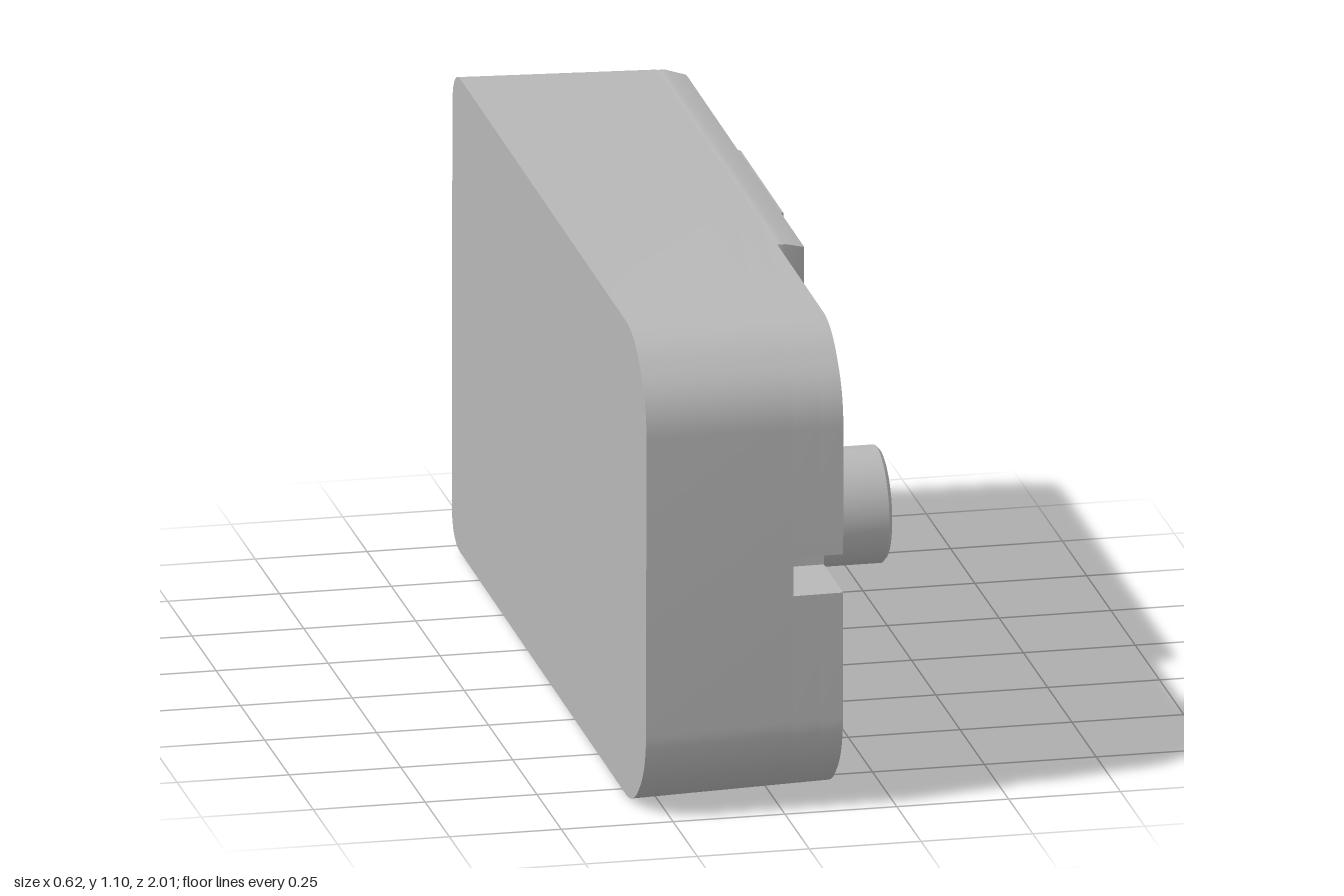
import * as THREE from 'three';
import { toCreasedNormals } from 'three/addons/utils/BufferGeometryUtils.js';
import { ConvexGeometry } from 'three/addons/geometries/ConvexGeometry.js';

const MID_Y = 0.551;

// Rounded polygon from [z, y, cornerRadius] points; the shape's x axis is -z
function outline(points, path = new THREE.Shape()) {
  const p = points.map(([z, y]) => new THREE.Vector2(-z, y));
  const toward = (a, b, r) => a.clone().add(b.clone().sub(a).setLength(r));
  p.forEach((c, i) => {
    const r = points[i][2] || 0;
    const prev = p[(i + p.length - 1) % p.length], next = p[(i + 1) % p.length];
    const a = r ? toward(c, prev, r) : c, b = r ? toward(c, next, r) : c;
    if (i === 0) path.moveTo(a.x, a.y); else path.lineTo(a.x, a.y);
    if (r) path.quadraticCurveTo(c.x, c.y, b.x, b.y);
  });
  path.closePath();
  return path;
}

// Extrude a side outline along x, starting at x0
function extrudeX(shape, x0, depth, options = {}) {
  const geo = new THREE.ExtrudeGeometry(shape, { depth, bevelEnabled: false, curveSegments: 10, ...options });
  return geo.rotateY(Math.PI / 2).translate(x0, 0, 0);
}

// Case walls lean inward slightly toward the +x face
function draft(geo) {
  const pos = geo.attributes.position;
  for (let i = 0; i < pos.count; i++) {
    const t = (pos.getX(i) + 0.31) / 0.44;
    pos.setY(i, MID_Y + (pos.getY(i) - MID_Y) * (1 - 0.02 * t));
    pos.setZ(i, pos.getZ(i) * (1 - 0.008 * t));
  }
  return geo;
}

export function createModel() {
  const group = new THREE.Group();
  const body = new THREE.Group();
  body.name = 'gearCase';
  const grey = new THREE.MeshStandardMaterial({ color: 0xb8b8b8 });
  grey.name = 'plain grey';

  const add = (name, geo, crease = 0.6) => {
    const mesh = new THREE.Mesh(toCreasedNormals(geo, crease), grey);
    mesh.name = name;
    body.add(mesh);
    return mesh;
  };
  const hull = (pts) => new ConvexGeometry(pts.map((p) => new THREE.Vector3(...p)));

  // Case: solid back, then layers holding the end slot and the channel
  const caseOutline = (slot) => outline([
    [-1, 0.007, 0.09], [0.87, 0.007, 0.08], [1, 0.13, 0.08],
    ...(slot ? [[1, 0.505], [0.8, 0.505], [0.8, 0.595], [1, 0.595]] : []),
    [1, 0.972, 0.08], [0.87, 1.095, 0.08], [-1, 1.095, 0.09],
  ]);
  add('caseBack', draft(extrudeX(caseOutline(false), -0.31, 0.33)));
  add('caseMiddle', draft(extrudeX(caseOutline(true), 0.02, 0.06)));
  const rim = caseOutline(true);
  rim.holes.push(outline([[0.045, 0.09], [0.045, 1.02], [-0.215, 1.02], [-0.215, 0.09]], new THREE.Path()));
  add('caseFront', draft(extrudeX(rim, 0.08, 0.052)));

  // Raised plate with two front tabs, cut round the channel and the cover
  const plate = outline([
    [-0.99, 0.02, 0.09], [0.31, 0.02], [0.31, 0.13], [0.18, 0.275], [0.065, 0.275],
    [0.065, 0.085], [-0.2, 0.085], [-0.2, 0.17], [-0.28, 0.17],
    [-0.28, 0.95], [-0.2, 0.95], [-0.2, 1.025], [0.065, 1.025],
    [0.065, 0.845], [0.17, 0.845], [0.31, 0.975], [0.31, 1.084], [-0.99, 1.084, 0.09],
  ]);
  for (const [z, y] of [[0.19, 1.01], [0.19, 0.105], [-0.885, 1.01], [-0.885, 0.105]]) {
    const hole = new THREE.Path();
    hole.absarc(-z, y, 0.032, 0, Math.PI * 2, true);
    plate.holes.push(hole);
  }
  add('raisedPlate', extrudeX(plate, 0.13, 0.02, {
    bevelEnabled: true, bevelThickness: 0.045, bevelSize: 0.014, bevelOffset: -0.014, bevelSegments: 1,
  }));

  // Sloping ends and rear wall of the channel
  for (const s of [1, -1]) {
    const pts = [];
    for (const z of [0.045, -0.214]) {
      pts.push([0.075, MID_Y + s * 0.42, z], [0.075, MID_Y + s * 0.468, z], [0.19, MID_Y + s * 0.468, z]);
    }
    add('channelEnd', hull(pts), 0.1);
  }
  const rear = [];
  for (const y of [0.085, 1.02]) {
    rear.push([0.075, y, -0.165], [0.075, y, -0.22], [0.157, y, -0.22], [0.157, y, -0.208]);
  }
  add('channelRear', hull(rear), 0.1);

  // Raised cover with a sloping front
  const cover = [];
  for (const [x, z0, z1, y0, y1] of [
    [0.12, -0.21, -0.77, 0.152, 0.968], [0.157, -0.21, -0.77, 0.152, 0.968], [0.28, -0.31, -0.748, 0.178, 0.945],
  ]) {
    cover.push([x, y0, z0], [x, y1, z0], [x, y0, z1], [x, y1, z1]);
  }
  add('cover', hull(cover), 0.1);

  // Hollow output shaft
  const profile = [[0.13, 0.1], [0.13, 0.302], [0.122, 0.31], [0.058, 0.31], [0.058, 0.16], [0, 0.16]];
  const shaft = new THREE.LatheGeometry(profile.map(([r, y]) => new THREE.Vector2(r, y)), 48);
  add('outputShaft', shaft.rotateZ(-Math.PI / 2).translate(0, 0.556, 0.555));

  // Fine radial ribs around the shaft
  for (let i = 0; i < 5; i++) {
    const rib = new THREE.BoxGeometry(0.008, 0.09, 0.008);
    rib.translate(0, 0.42, 0).rotateX(-i * Math.PI / 4).translate(0.132, 0.556, 0.555);
    add('rib', rib);
  }

  // The case sits at a very slight tilt
  body.rotation.x = 0.007;
  body.position.z = -0.004;
  group.add(body);
  return group;
}
